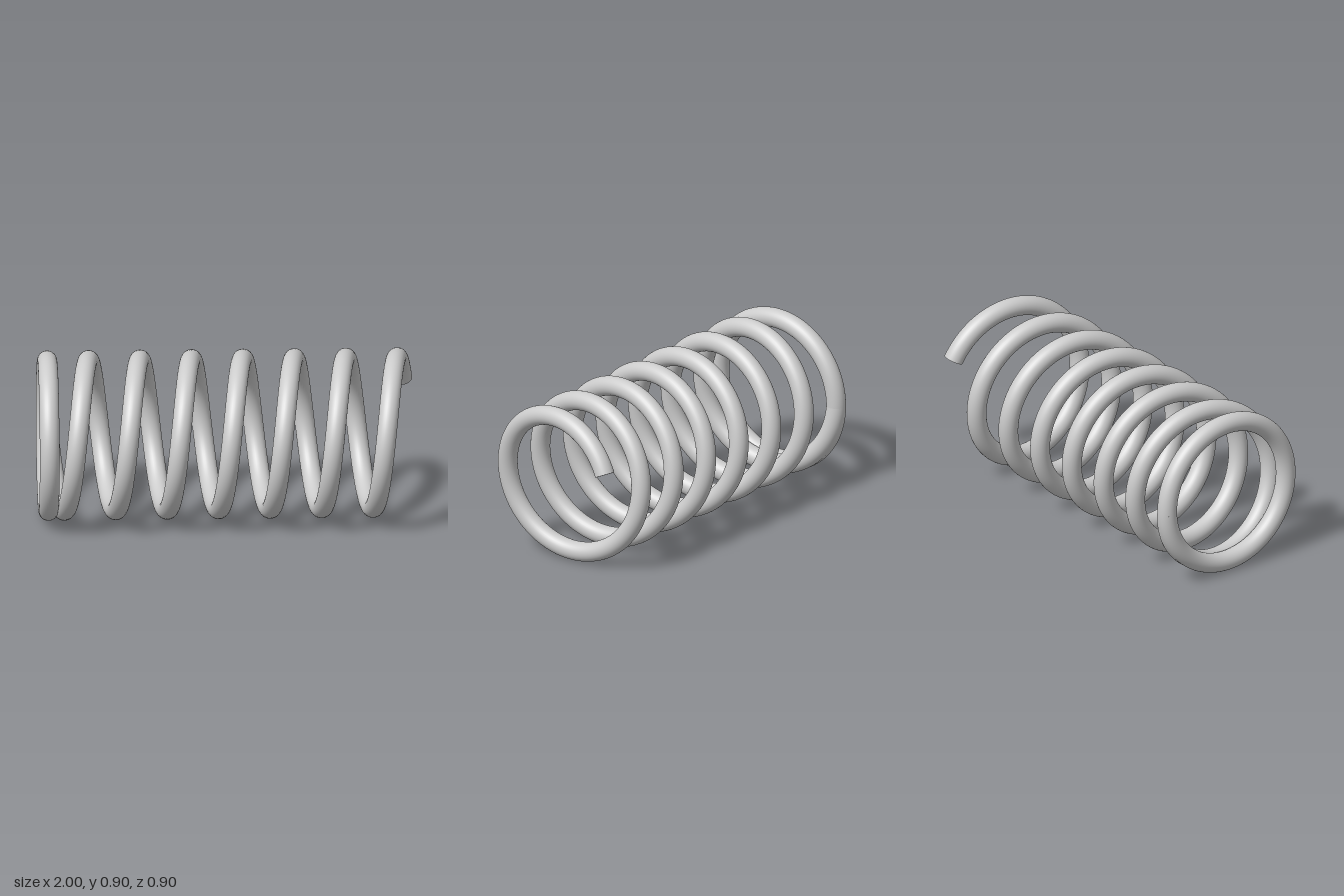
import * as THREE from 'three';

const COIL_R = 0.4, WIRE_R = 0.0525, CENTRE_Y = 0.455;
const START_X = -0.9475, END_X = 0.9475;
const START_ANGLE = Math.PI / 2;                                    // measured from the top towards the back
const END_ANGLE = 7 * Math.PI * 2 + THREE.MathUtils.degToRad(63.8);

// Centre line of the spring wire, winding along x
class CoilCurve extends THREE.Curve {
  getPoint(t, target = new THREE.Vector3()) {
    const a = THREE.MathUtils.lerp(START_ANGLE, END_ANGLE, t);
    return target.set(
      THREE.MathUtils.lerp(START_X, END_X, t),
      CENTRE_Y + COIL_R * Math.cos(a),
      -COIL_R * Math.sin(a)
    );
  }
}

export function createModel() {
  const group = new THREE.Group();
  group.name = 'coilSpring';
  const material = new THREE.MeshStandardMaterial({ color: 0xcccccc });

  const add = (name, geometry) => {
    const mesh = new THREE.Mesh(geometry, material);
    mesh.name = name;
    group.add(mesh);
    return mesh;
  };

  // Open coils
  const curve = new CoilCurve();
  add('coil', new THREE.TubeGeometry(curve, 560, WIRE_R, 32, false));

  // Flat closed turn that the coil grows out of
  const ring = add('closedEndTurn', new THREE.TorusGeometry(COIL_R, WIRE_R, 32, 96));
  ring.rotation.y = Math.PI / 2;
  ring.position.set(START_X, CENTRE_Y, 0);

  // Flat cut faces at both ends of the wire
  for (const [name, t, sign] of [['startCap', 0, -1], ['endCap', 1, 1]]) {
    const cap = add(name, new THREE.CircleGeometry(WIRE_R, 32));
    cap.position.copy(curve.getPoint(t));
    cap.quaternion.setFromUnitVectors(
      new THREE.Vector3(0, 0, 1),
      curve.getTangent(t).multiplyScalar(sign)
    );
  }

  return group;
}
